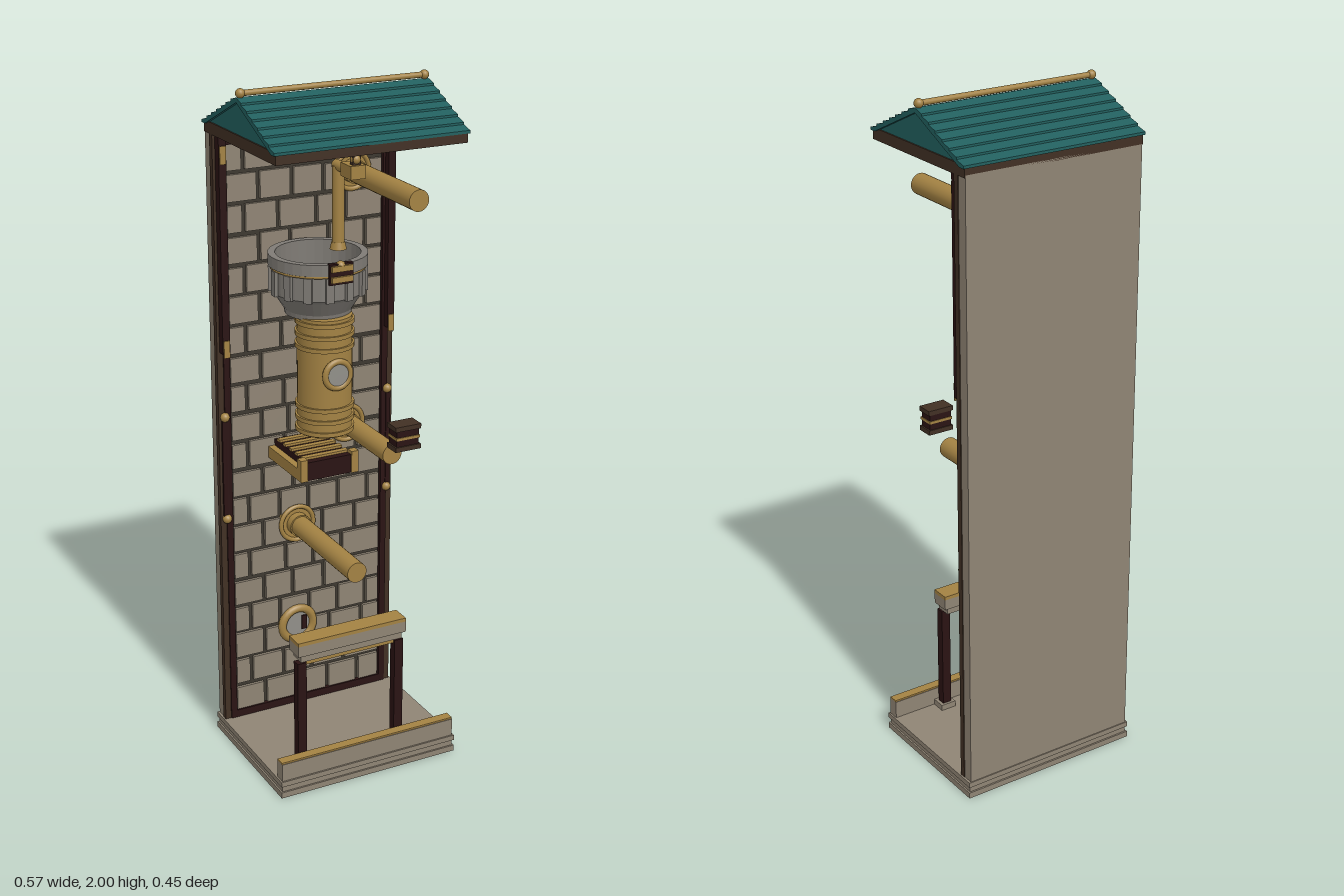
import * as THREE from 'three';

const mat = (name, color, side = THREE.FrontSide) => {
  const m = new THREE.MeshStandardMaterial({ color, side });
  m.name = name;
  return m;
};

export function createModel() {
  const model = new THREE.Group();
  model.name = 'pipeTower';
  const stone = mat('stone', 0x8f8474);
  const mortar = mat('mortar', 0x3d3830);
  const brass = mat('brass', 0xa38243);
  const teal = mat('tealRoof', 0x22605f, THREE.DoubleSide);
  const wood = mat('darkWood', 0x2a1313);
  const brown = mat('brownWood', 0x413024);
  const iron = mat('ironGrey', 0x7f7b75, THREE.DoubleSide);
  const glass = mat('glass', 0x918f89);

  const add = (name, geo, m, x = 0, y = 0, z = 0) => {
    const mesh = new THREE.Mesh(geo, m);
    mesh.name = name;
    mesh.position.set(x, y, z);
    model.add(mesh);
    return mesh;
  };
  // Box given by its limits on each axis
  const box = (name, m, x0, x1, y0, y1, z0, z1) =>
    add(name, new THREE.BoxGeometry(x1 - x0, y1 - y0, z1 - z0), m, (x0 + x1) / 2, (y0 + y1) / 2, (z0 + z1) / 2);
  const rod = (name, m, r, x, y, z0, z1, r2 = r) =>
    add(name, new THREE.CylinderGeometry(r, r2, z1 - z0, 24).rotateX(Math.PI / 2), m, x, y, (z0 + z1) / 2);
  const post = (name, m, r, x, z, y0, y1, r0 = r) =>
    add(name, new THREE.CylinderGeometry(r, r0, y1 - y0, 28), m, x, (y0 + y1) / 2, z);
  const ball = (name, r, x, y, z) => add(name, new THREE.SphereGeometry(r, 14, 10), brass, x, y, z);
  const ring = (name, r, t, x, y, z) => add(name, new THREE.TorusGeometry(r, t, 8, 28), brass, x, y, z);

  // Stepped base with a raised front kerb
  box('baseBottom', stone, -0.285, 0.285, 0, 0.018, -0.225, 0.225);
  box('baseMiddle', stone, -0.28, 0.28, 0.018, 0.036, -0.22, 0.22);
  box('baseTop', stone, -0.285, 0.285, 0.036, 0.052, -0.225, 0.225);
  box('frontKerb', stone, -0.28, 0.28, 0.052, 0.106, 0.187, 0.22);
  box('kerbTrim', brass, -0.28, 0.28, 0.106, 0.111, 0.189, 0.218);

  // Back wall with offset courses of stones
  box('backWall', stone, -0.278, 0.278, 0.052, 1.85, -0.222, -0.188);
  box('mortarBed', mortar, -0.25, 0.25, 0.052, 1.85, -0.188, -0.181);
  let seed = 7;
  const rand = () => (seed = (seed * 16807) % 2147483647) / 2147483647;
  const rows = 20, rowH = 1.75 / rows, gap = 0.012;
  for (let r = 0; r < rows; r++) {
    const y = 0.07 + r * rowH;
    let x = -0.245;
    let w = r % 2 ? 0.055 : 0.1;
    while (x < 0.235) {
      let end = Math.min(x + w, 0.245);
      if (0.245 - end < 0.04) end = 0.245;
      box('wallStone', stone, x + gap / 2, end - gap / 2, y + gap / 2, y + rowH - gap / 2 + (rand() - 0.5) * 0.006, -0.182, -0.172);
      x = end;
      w = 0.085 + rand() * 0.035;
    }
  }
  box('wallTopBeam', wood, -0.25, 0.25, 1.815, 1.85, -0.188, -0.155);
  box('wallFootBeam', wood, -0.25, 0.25, 0.052, 0.075, -0.188, -0.168);

  // Corner pillars with studs, mirrored
  for (const s of [-1, 1]) {
    const pillar = (name, m, a, b, y0, y1, z0, z1) => box(name, m, Math.min(s * a, s * b), Math.max(s * a, s * b), y0, y1, z0, z1);
    pillar('pillarOuter', brown, 0.262, 0.28, 0.052, 1.85, -0.19, -0.172);
    pillar('pillarInner', wood, 0.243, 0.262, 0.052, 1.85, -0.19, -0.168);
    pillar('upperPillar', wood, 0.25, 0.272, 1.225, 1.84, -0.185, -0.148);
    pillar('lowerStrip', wood, 0.258, 0.272, 0.72, 1.03, -0.18, -0.165);
    for (const y of [1.24, 1.79]) pillar('pillarClasp', brass, 0.252, 0.27, y - 0.025, y + 0.025, -0.15, -0.144);
    for (const y of [0.715, 1.03]) ball('pillarStud', 0.014, s * 0.262, y, -0.168);
  }

  // Eave frame
  for (const s of [-1, 1]) {
    box('eaveBeam', brown, -0.28, 0.28, 1.843, 1.875, s * 0.208 - 0.014, s * 0.208 + 0.014);
    box('eaveSide', brown, s * 0.266 - 0.014, s * 0.266 + 0.014, 1.843, 1.875, -0.194, 0.194);
  }

  // Hollow roof with lapped planks, seven on each slope
  const half = [];
  const n = 7, run = 0.225 / n, rise = 0.105 / n;
  for (let i = 0; i < n; i++) {
    const z = 0.225 - i * run, y = 1.868 + i * rise;
    half.push([z, y], [z, y + 0.008], [z - run, y + rise + 0.002]);
  }
  const outline = [...half, ...half.slice().reverse().map(([z, y]) => [-z, y]), [-0.205, 1.868], [0, 1.962], [0.205, 1.868]];
  const section = new THREE.Shape(outline.map(([z, y]) => new THREE.Vector2(z, y)));
  add('roofPlanks', new THREE.ExtrudeGeometry(section, { depth: 0.57, bevelEnabled: false }).translate(0, 0, -0.285).rotateY(Math.PI / 2), teal);
  const gable = new THREE.Shape([[-0.215, 1.87], [0.215, 1.87], [0, 1.97]].map(([z, y]) => new THREE.Vector2(z, y)));
  for (const x of [-0.27, 0.27])
    add('gable', new THREE.ExtrudeGeometry(gable, { depth: 0.012, bevelEnabled: false }).translate(0, 0, -0.006).rotateY(Math.PI / 2), teal, x);
  add('ridgeRod', new THREE.CylinderGeometry(0.008, 0.008, 0.56, 14).rotateZ(Math.PI / 2), brass, 0, 1.985, 0);
  for (const x of [-0.273, 0.273]) ball('ridgeKnob', 0.013, x, 1.985, 0);

  // Wall pipes: x, y, front end
  for (const [x, y, z] of [[0.143, 1.7, 0.21], [0.127, 0.945, 0.11], [-0.037, 0.655, 0.21]]) {
    rod('pipe', brass, 0.03, x, y, -0.18, z);
    rod('pipeFlange', brass, 0.058, x, y, -0.18, -0.167);
    ring('flangeRim', 0.053, 0.007, x, y, -0.167);
    rod('pipeCollar', brass, 0.034, x, y, -0.167, -0.142);
  }

  // Porthole low on the wall
  ring('wallPortholeRim', 0.051, 0.013, -0.037, 0.32, -0.17);
  rod('wallPortholeGlass', glass, 0.042, -0.037, 0.32, -0.178, -0.169);
  box('wallPortholeLatch', wood, -0.025, -0.008, 0.3, 0.345, -0.169, -0.164);

  // Boiler
  const bx = -0.037, bz = 0.013;
  post('boilerBody', brass, 0.077, bx, bz, 1.02, 1.36);
  for (const y of [1.03, 1.065, 1.1, 1.275, 1.31, 1.345]) post('boilerBand', brass, 0.083, bx, bz, y - 0.006, y + 0.006);
  ring('boilerWindowRim', 0.038, 0.009, bx, 1.205, bz + 0.079);
  rod('boilerWindow', glass, 0.034, bx, 1.205, bz + 0.05, bz + 0.084);

  // Open basin with ribs round its wall
  const cz = -0.026;
  const profile = [[0, 1.356], [0.093, 1.356], [0.095, 1.37], [0.122, 1.412], [0.128, 1.42], [0.128, 1.49], [0.138, 1.494],
    [0.138, 1.526], [0.118, 1.526], [0.118, 1.43], [0.085, 1.4], [0, 1.4]].map(([r, y]) => new THREE.Vector2(r, y));
  const basin = new THREE.LatheGeometry(profile, 32).toNonIndexed();
  basin.computeVertexNormals();
  add('basin', basin, iron, bx, 0, cz);
  for (let i = 0; i < 14; i++) {
    const a = ((i + 0.5) / 14) * Math.PI * 2;
    const rib = add('basinRib', new THREE.BoxGeometry(0.022, 0.07, 0.014), iron, bx + Math.sin(a) * 0.13, 1.452, cz + Math.cos(a) * 0.13);
    rib.rotation.y = a;
  }
  add('basinTrim', new THREE.TorusGeometry(0.131, 0.005, 6, 32).rotateX(Math.PI / 2), brass, bx, 1.491, cz);
  box('basinLatchBack', wood, bx - 0.035, bx + 0.035, 1.47, 1.528, 0.1, 0.115);
  for (const y of [1.485, 1.515]) box('basinLatch', brass, bx - 0.032, bx + 0.032, y - 0.008, y + 0.008, 0.112, 0.122);
  ball('basinKnob', 0.014, bx, 1.52, 0.108);

  // Filling spout under the eave
  const sx = -0.027;
  post('spoutPipe', brass, 0.017, sx, 0.075, 1.575, 1.785);
  post('spoutMouth', brass, 0.018, sx, 0.075, 1.558, 1.578, 0.023);
  rod('spoutArm', brass, 0.014, sx, 1.785, 0.062, 0.14);
  box('spoutValve', brass, sx - 0.022, sx + 0.022, 1.772, 1.808, 0.13, 0.188);
  box('spoutHanger', brown, sx - 0.012, sx + 0.012, 1.808, 1.845, 0.165, 0.18);
  ball('spoutStud', 0.014, sx, 1.822, 0.172);

  // Slatted shelf below the boiler
  box('shelfTray', wood, -0.105, 0.037, 0.88, 0.935, -0.175, 0.036);
  for (const x of [-0.114, 0.046]) {
    box('shelfRail', brass, x - 0.011, x + 0.011, 0.88, 0.915, -0.175, 0.04);
    box('shelfEnd', brass, x - 0.011, x + 0.011, 0.88, 0.945, 0.015, 0.04);
  }
  for (let i = 0; i < 5; i++) box('shelfSlat', brass, -0.105, 0.037, 0.935, 0.942, -0.155 + i * 0.038, -0.137 + i * 0.038);

  // Small hanging lantern box
  box('lanternBox', wood, 0.1, 0.17, 0.99, 1.05, 0.139, 0.183);
  for (const y of [0.99, 1.05]) box('lanternFrame', brown, 0.095, 0.175, y - 0.007, y + 0.007, 0.136, 0.187);
  box('lanternBand', brass, 0.098, 0.172, 1.016, 1.024, 0.137, 0.186);

  // Front rail on two posts
  for (const x of [-0.193, 0.12]) {
    box('railPost', wood, x - 0.014, x + 0.014, 0.068, 0.39, 0.15, 0.176);
    box('railPostFoot', stone, x - 0.024, x + 0.024, 0.052, 0.07, 0.142, 0.186);
  }
  box('railUnderside', brass, -0.18, 0.107, 0.38, 0.392, 0.157, 0.169);
  box('railLower', stone, -0.195, 0.13, 0.392, 0.412, 0.125, 0.173);
  box('railBody', stone, -0.206, 0.141, 0.412, 0.445, 0.12, 0.178);
  box('railCap', brass, -0.206, 0.141, 0.445, 0.456, 0.12, 0.178);

  return model;
}
